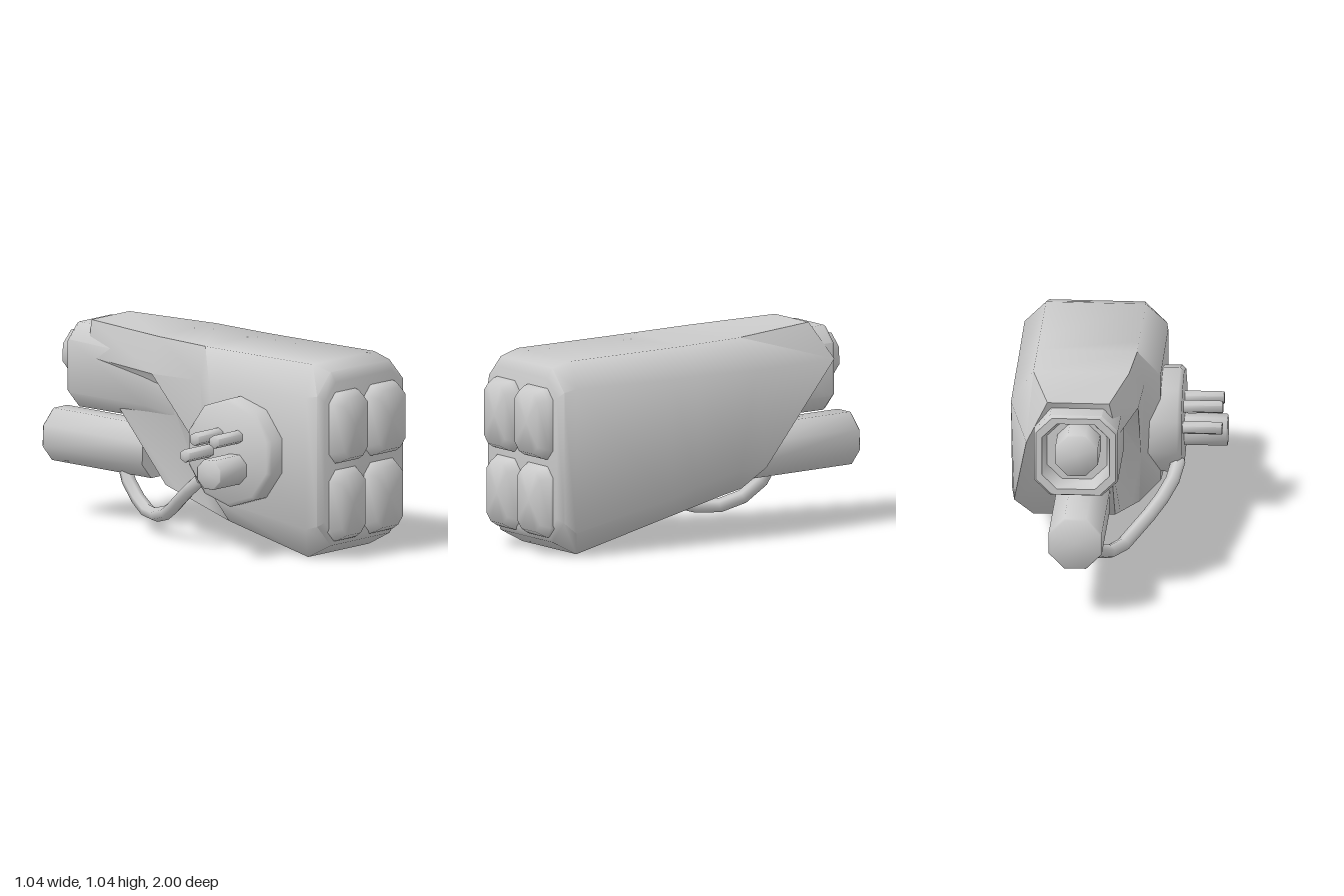
import * as THREE from 'three';
import { toCreasedNormals } from 'three/addons/utils/BufferGeometryUtils.js';

const material = new THREE.MeshStandardMaterial({ color: 0xcccccc, side: THREE.DoubleSide });

function add(group, name, geometry, crease = 0.9) {
  const mesh = new THREE.Mesh(toCreasedNormals(geometry, crease), material);
  mesh.name = name;
  group.add(mesh);
  return mesh;
}

// Chamfered rectangle, clockwise from its top left corner, facing +z
function oct(x0, x1, y0, y1, c, z) {
  return [[x0 + c, y1, z], [x1 - c, y1, z], [x1, y1 - c, z], [x1, y0 + c, z],
    [x1 - c, y0, z], [x0 + c, y0, z], [x0, y0 + c, z], [x0, y1 - c, z]];
}

// Skin a row of rings, front to back, and close both ends
function loft(rings) {
  const pos = [];
  const tri = (...pts) => pts.forEach((p) => pos.push(...p));
  const n = rings[0].length;
  const centre = (ring) => [0, 1, 2].map((k) => ring.reduce((s, p) => s + p[k], 0) / n);
  const first = rings[0], last = rings[rings.length - 1];
  const c0 = centre(first), c1 = centre(last);
  for (let j = 0; j < n; j++) {
    const k = (j + 1) % n;
    for (let i = 0; i < rings.length - 1; i++) {
      const a = rings[i], b = rings[i + 1];
      tri(a[j], a[k], b[k]);
      tri(a[j], b[k], b[j]);
    }
    tri(c0, first[k], first[j]);
    tri(c1, last[j], last[k]);
  }
  const geometry = new THREE.BufferGeometry();
  geometry.setAttribute('position', new THREE.Float32BufferAttribute(pos, 3));
  return geometry;
}

// Cylinder between two points, with a bevel at its far end
function rod(group, name, from, to, radius, sides, bevel = 0.004) {
  const a = new THREE.Vector3(...from), b = new THREE.Vector3(...to);
  const dir = b.clone().sub(a), len = dir.length();
  const profile = [[0, 0], [radius, 0], [radius, len - bevel], [radius - bevel, len], [0, len]];
  const geometry = new THREE.LatheGeometry(profile.map((p) => new THREE.Vector2(...p)), sides);
  geometry.rotateY(Math.PI / sides);
  const mesh = add(group, name, geometry, 1.1);
  mesh.position.copy(a);
  mesh.quaternion.setFromUnitVectors(new THREE.Vector3(0, 1, 0), dir.normalize());
}

export function createModel() {
  const model = new THREE.Group();
  model.name = 'launcherPod';

  // Body: chamfered box, undercut behind the mounting disc, with a slanted hollow back
  add(model, 'body', loft([
    oct(-0.16, 0.48, 0.11, 0.9, 0.09, 0.93),
    oct(-0.19, 0.51, 0.07, 0.95, 0.11, 0.905),
    [[-0.09, 0.98, 0.8], [0.41, 0.98, 0.8], [0.52, 0.855, 0.84], [0.52, 0.125, 0.84],
      [0.41, 0, 0.77], [-0.09, 0, 0.77], [-0.2, 0.16, 0.84], [-0.2, 0.83, 0.84]],
    [[-0.09, 0.995, 0.27], [0.41, 0.995, 0.27], [0.52, 0.855, 0.27], [0.52, 0.25, 0.27],
      [0.41, 0.13, 0.27], [-0.09, 0.13, 0.27], [-0.2, 0.25, 0.27], [-0.2, 0.83, 0.23]],
    [[-0.09, 1, 0.12], [0.41, 1, 0.12], [0.52, 0.86, 0.12], [0.52, 0.3, 0.12],
      [0.41, 0.168, 0.12], [-0.06, 0.168, 0.12], [-0.11, 0.45, 0.12], [-0.127, 0.83, 0.12]],
    [[-0.07, 1.015, -0.2], [0.41, 1.015, -0.2], [0.52, 0.86, -0.23], [0.52, 0.36, -0.14],
      [0.41, 0.225, -0.1], [-0.02, 0.225, -0.1], [-0.02, 0.74, -0.17], [-0.115, 0.83, -0.2]],
    [[0, 1.04, -0.67], [0.31, 1.04, -0.67], [0.41, 0.86, -0.76], [0.5, 0.36, -0.3],
      [0.41, 0.25, -0.21], [0, 0.25, -0.2], [0, 0.74, -0.6], [-0.04, 0.86, -0.66]],
  ]), 1);

  // Four bevelled tube covers on the front
  for (const [x0, x1] of [[-0.125, 0.138], [0.162, 0.443]]) {
    for (const [y0, y1, z] of [[0.49, 0.85, 1], [0.095, 0.455, 0.985]]) {
      add(model, 'frontCover', loft([
        oct(x0 + 0.035, x1 - 0.035, y0 + 0.03, y1 - 0.025, 0.04, z),
        oct(x0 + 0.005, x1 - 0.005, y0 + 0.005, y1 - 0.005, 0.05, z - 0.045),
        oct(x0, x1, y0, y1, 0.05, 0.93),
        oct(x0, x1, y0, y1, 0.05, 0.88),
      ]), 1.2);
    }
  }

  // Rear exhaust housing with a recessed mouth
  add(model, 'rearHousing', loft([
    oct(0, 0.33, 0.5, 0.9, 0.08, 0.05),
    oct(-0.05, 0.37, 0.57, 0.98, 0.08, -0.3),
    oct(-0.05, 0.37, 0.585, 1.015, 0.08, -0.77),
    oct(-0.04, 0.36, 0.595, 1.005, 0.08, -0.79),
    oct(-0.01, 0.33, 0.625, 0.975, 0.075, -0.79),
    oct(0.01, 0.31, 0.645, 0.95, 0.075, -0.7),
  ]));
  rod(model, 'upperNozzle', [0.15, 0.835, -0.65], [0.15, 0.845, -0.888], 0.116, 8);

  // Lower cylinder, its neck and the hose
  rod(model, 'lowerCylinder', [0.15, 0.387, -0.36], [0.15, 0.413, -0.997], 0.144, 8, 0.01);
  rod(model, 'lowerNeck', [0.15, 0.38, -0.1], [0.15, 0.385, -0.4], 0.075, 8);
  const path = new THREE.CatmullRomCurve3([
    [0.13, 0.33, -0.57], [0.1, 0.2, -0.5], [0.05, 0.12, -0.38], [-0.02, 0.097, -0.27],
    [-0.1, 0.135, -0.11], [-0.19, 0.21, 0.02], [-0.26, 0.29, 0.14], [-0.29, 0.37, 0.25],
  ].map((p) => new THREE.Vector3(...p)));
  add(model, 'hose', new THREE.TubeGeometry(path, 9, 0.036, 6), 1.2);

  // Side mounting disc with its pins
  rod(model, 'mountDisc', [-0.08, 0.52, 0.43], [-0.307, 0.52, 0.43], 0.275, 10, 0.02);
  rod(model, 'mainPin', [-0.28, 0.445, 0.475], [-0.523, 0.445, 0.475], 0.08, 8);
  for (const [y, z] of [[0.61, 0.495], [0.61, 0.37], [0.52, 0.31]]) {
    rod(model, 'smallPin', [-0.28, y, z], [-0.505, y, z], 0.034, 6);
  }
  return model;
}
